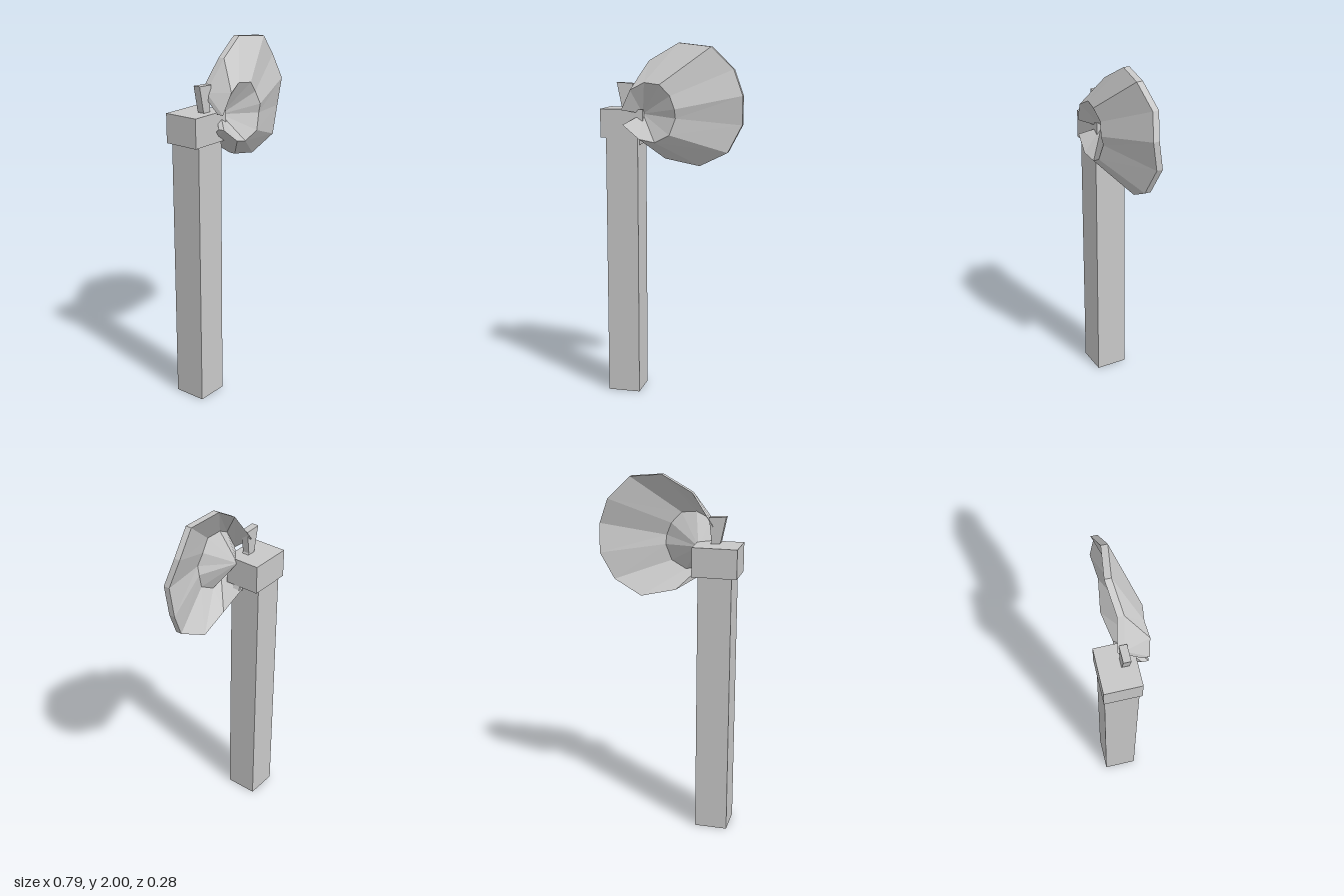
import * as THREE from 'three';

const grey = new THREE.MeshStandardMaterial({ color: 0xc8c8c8, flatShading: true });
grey.name = 'stone grey';

// Box given by its low and high corners
function box(name, [x0, y0, z0], [x1, y1, z1]) {
  const mesh = new THREE.Mesh(new THREE.BoxGeometry(x1 - x0, y1 - y0, z1 - z0), grey);
  mesh.position.set((x0 + x1) / 2, (y0 + y1) / 2, (z0 + z1) / 2);
  mesh.name = name;
  return mesh;
}

// Flared sheet with a dented middle, open on its left edge
function flaredBlade() {
  const outer = [[-0.24, 1.74], [-0.125, 1.905], [0.035, 2], [0.22, 1.98], [0.34, 1.86], [0.395, 1.72],
    [0.39, 1.56], [0.315, 1.41], [0.155, 1.33], [-0.035, 1.37], [-0.185, 1.47]];
  const inner = [[-0.258, 1.64], [-0.203, 1.75], [-0.127, 1.79], [-0.04, 1.78], [0.015, 1.72], [0.044, 1.65],
    [0.047, 1.60], [0.015, 1.51], [-0.07, 1.467], [-0.155, 1.485], [-0.25, 1.56]];
  const thick = 0.035;

  // One closed section per spoke; rims step in and out alternately
  const sections = outer.map(([ox, oy], i) => {
    const [ix, iy] = inner[i];
    const front = [
      [ox, oy, i % 2 ? 0.025 : 0],
      [ix, iy, i % 2 ? 0.137 : 0.125],
      [-0.16, 1.615, 0.03],
    ];
    const back = front.map(([x, y, z]) => [x, y, z - thick]).reverse();
    return [...front, ...back];
  });

  const pos = [];
  const quad = (a, b, c, d) => pos.push(...a, ...b, ...c, ...a, ...c, ...d);
  for (let i = 0; i < sections.length - 1; i++) {
    const s = sections[i], t = sections[i + 1];
    for (let k = 0; k < 6; k++) {
      if (k === 2) continue;
      const n = (k + 1) % 6;
      if (k === 1) pos.push(...s[1], ...s[2], ...t[1]);
      else if (k === 3) pos.push(...s[3], ...s[4], ...t[4]);
      else quad(s[k], s[n], t[n], t[k]);
    }
  }
  // End edges
  const a = sections[0], b = sections[sections.length - 1];
  quad(a[1], a[0], a[5], a[4]);
  quad(a[2], a[1], a[4], a[3]);
  quad(b[4], b[5], b[0], b[1]);
  quad(b[3], b[4], b[1], b[2]);

  const geo = new THREE.BufferGeometry();
  geo.setAttribute('position', new THREE.Float32BufferAttribute(pos, 3));
  geo.computeVertexNormals();
  const mesh = new THREE.Mesh(geo, grey);
  mesh.name = 'flaredBlade';
  return mesh;
}

// Tapered pin leaning through the head block
function pin() {
  const shape = new THREE.Shape([[-0.313, 1.785], [-0.285, 1.65], [-0.185, 1.44], [-0.15, 1.458],
    [-0.235, 1.65], [-0.22, 1.78]].map(([x, y]) => new THREE.Vector2(x, y)));
  const geo = new THREE.ExtrudeGeometry(shape, { depth: 0.04, bevelEnabled: false });
  const mesh = new THREE.Mesh(geo, grey);
  mesh.position.z = -0.023;
  mesh.name = 'pin';
  return mesh;
}

export function createModel() {
  const model = new THREE.Group();
  model.name = 'axe';
  model.add(
    box('handle', [-0.368, 0, -0.13], [-0.185, 1.48, 0.053]),
    box('headBlock', [-0.398, 1.48, -0.14], [-0.153, 1.64, 0.06]),
    flaredBlade(),
    pin(),
  );
  return model;
}
